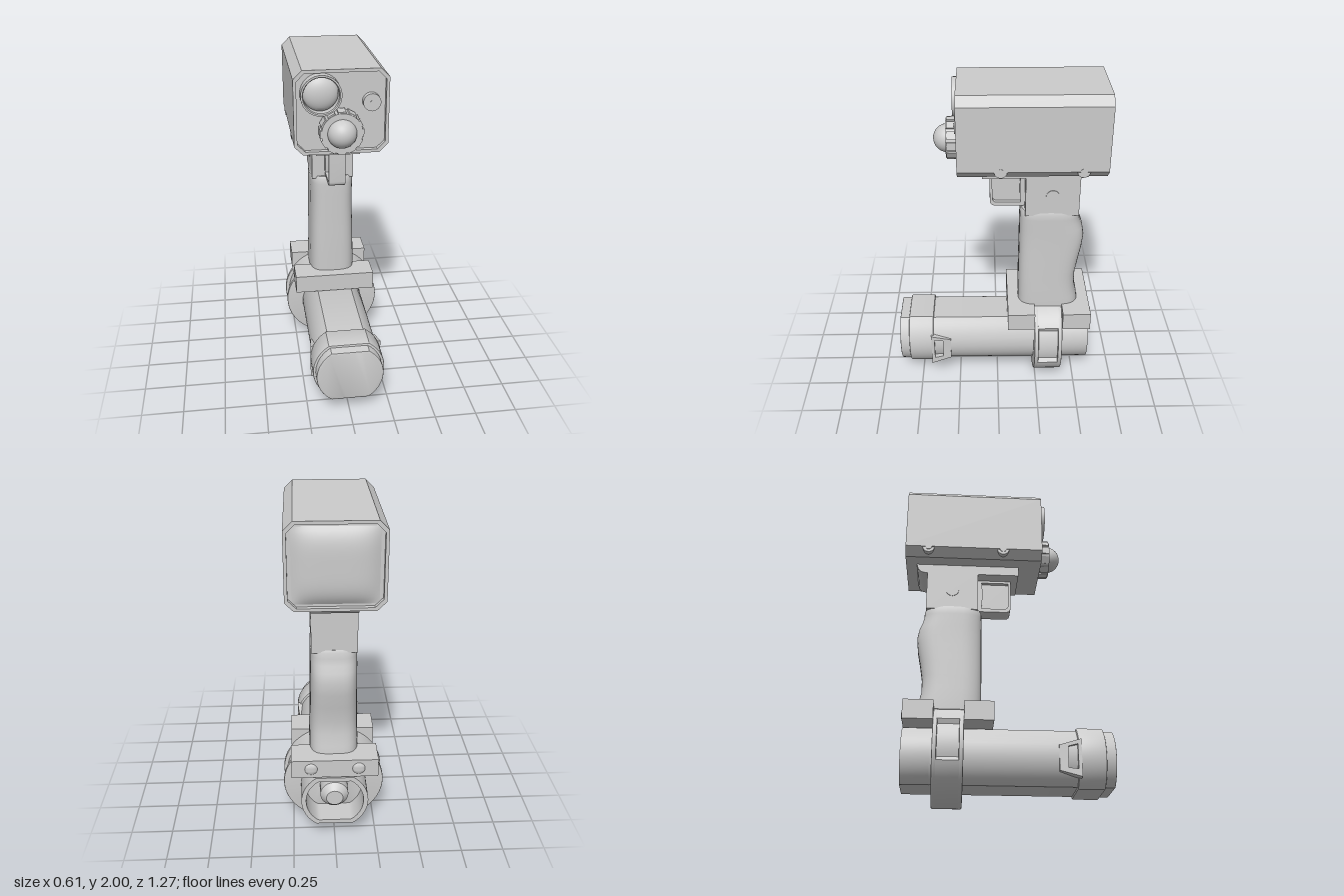
import * as THREE from 'three';
import { toCreasedNormals } from 'three/addons/utils/BufferGeometryUtils.js';

const material = new THREE.MeshStandardMaterial({ color: 0xcccccc, side: THREE.DoubleSide });

export function createModel() {
  const model = new THREE.Group();

  const add = (name, geo, x = 0, y = 0, z = 0) => {
    const mesh = new THREE.Mesh(toCreasedNormals(geo, 0.55), material);
    mesh.name = name;
    mesh.position.set(x, y, z);
    model.add(mesh);
    return mesh;
  };
  const poly = pts => new THREE.Shape(pts.map(p => new THREE.Vector2(p[0], p[1])));

  // Extrude an x-y outline between two depths, with an optional edge bevel
  const extrudeZ = (shape, z0, z1, b = 0) => new THREE.ExtrudeGeometry(shape, {
    depth: z1 - z0 - 2 * b, bevelEnabled: b > 0, bevelSize: b, bevelOffset: -b,
    bevelThickness: b, bevelSegments: 2, curveSegments: 12,
  }).translate(0, 0, z0 + b);
  // Extrude a z-y outline across x, centred
  const extrudeX = (shape, width, b = 0) =>
    extrudeZ(shape, -width / 2, width / 2, b).rotateY(-Math.PI / 2);
  const box = (w, h, d) => new THREE.BoxGeometry(w, h, d);
  const cylZ = (r, d, r2 = r, n = 40) => new THREE.CylinderGeometry(r2, r, d, n).rotateX(Math.PI / 2);
  const cylX = (r, d) => new THREE.CylinderGeometry(r, r, d, 28).rotateZ(Math.PI / 2);

  // Rectangle with cut corners
  const chamfered = (w, y0, y1, c) => poly([
    [-w + c, y0], [w - c, y0], [w, y0 + c], [w, y1 - c],
    [w - c, y1], [-w + c, y1], [-w, y1 - c], [-w, y0 + c]]);
  // Circle with flattened top and bottom
  const flatRound = (r, h) => {
    const pts = [];
    for (let i = 0; i < 64; i++) {
      const a = i / 64 * Math.PI * 2;
      pts.push([r * Math.cos(a), THREE.MathUtils.clamp(r * Math.sin(a), -h, h)]);
    }
    return poly(pts);
  };

  // Head: a shell open at both ends around a solid core
  const shell = chamfered(0.268, 1.515, 2, 0.05);
  shell.holes.push(chamfered(0.25, 1.533, 1.982, 0.045));
  add('headShell', extrudeZ(shell, -0.622, 0.23));
  add('headCore', extrudeZ(chamfered(0.252, 1.531, 1.984, 0.045), -0.595, 0.2));

  // Bulging rear screen
  const screen = new THREE.PlaneGeometry(0.46, 0.42, 20, 20).rotateY(Math.PI);
  const sp = screen.attributes.position;
  for (let i = 0; i < sp.count; i++) {
    const u = sp.getX(i) / 0.23, v = sp.getY(i) / 0.21;
    sp.setZ(i, -0.04 * (1 - u ** 4) * (1 - v ** 4));
  }
  screen.computeVertexNormals();
  add('rearScreen', screen, 0, 1.757, -0.596);

  // Screws set into the lower edges of the head
  for (const side of [-1, 1])
    for (const z of [-0.015, -0.48]) {
      add('headScrew', cylX(0.037, 0.05), side * 0.24, 1.565, z);
      add('screwDimple', cylX(0.02, 0.006), side * 0.266, 1.565, z);
    }

  // Upper lens: rim with a dome inside
  const rim = [[0.1, 0], [0.1, 0.05], [0.105, 0.057], [0.115, 0.057], [0.115, 0]]
    .map(p => new THREE.Vector2(...p));
  add('upperLensRim', new THREE.LatheGeometry(rim.reverse(), 40).rotateX(Math.PI / 2), -0.115, 1.862, 0.2);
  add('upperLensDome', new THREE.SphereGeometry(0.1, 32, 20).scale(1, 1, 0.5), -0.115, 1.862, 0.2);

  // Lower lens: ribbed barrel with a ball
  add('lowerLensBarrel', cylZ(0.116, 0.1), -0.005, 1.655, 0.245);
  for (let i = 0; i < 12; i++) {
    const a = i / 12 * Math.PI * 2;
    const rib = add('barrelRib', box(0.016, 0.045, 0.08),
      -0.005 + 0.115 * Math.cos(a), 1.655 + 0.115 * Math.sin(a), 0.25);
    rib.rotation.z = a;
  }
  add('lowerLensBall', new THREE.SphereGeometry(0.083, 32, 24), -0.005, 1.655, 0.287);

  // Small knob
  add('knob', cylZ(0.05, 0.04), 0.17, 1.81, 0.218);
  add('knobCentre', cylZ(0.012, 0.01), 0.17, 1.81, 0.238);

  // Mounting plate, neck and cross pin
  add('mountPlate', extrudeX(poly([[0.09, 1.52], [0.09, 1.455], [-0.49, 1.455], [-0.525, 1.463],
    [-0.545, 1.482], [-0.555, 1.52]]), 0.26));
  add('neck', box(0.26, 0.26, 0.32), 0, 1.335, -0.325);
  add('neckPin', cylX(0.04, 0.268), 0, 1.335, -0.325);

  // Trigger: raised rim around a thinner web
  const outline = (z0, z1, y0, y1, r) => {
    const s = new THREE.Shape();
    s.moveTo(z0, y1);
    s.lineTo(z0, y0 + r);
    s.quadraticCurveTo(z0, y0, z0 - r, y0);
    s.lineTo(z1, y0);
    s.quadraticCurveTo(z1 + 0.012, (y0 + y1) / 2, z1, y1);
    return s;
  };
  const trigger = outline(0.045, -0.17, 1.232, 1.46, 0.035);
  trigger.holes.push(outline(0.03, -0.14, 1.255, 1.44, 0.03));
  add('triggerRim', extrudeX(trigger, 0.1));
  add('triggerWeb', box(0.05, 0.2, 0.19), 0, 1.345, -0.06);

  // Grip: stacked rounded sections [y, half width, front z, back z]
  const rows = [[0.54, 0.145, -0.133, -0.516], [0.6, 0.145, -0.133, -0.508], [0.67, 0.143, -0.133, -0.492],
    [0.76, 0.141, -0.133, -0.492], [0.86, 0.139, -0.134, -0.508], [0.95, 0.137, -0.135, -0.525],
    [1.03, 0.136, -0.135, -0.533], [1.09, 0.136, -0.136, -0.522], [1.13, 0.136, -0.136, -0.505],
    [1.17, 0.136, -0.137, -0.496], [1.205, 0.136, -0.138, -0.494], [1.222, 0.13, -0.146, -0.486]];
  const N = 40, verts = [], faces = [];
  const loops = [[0.54, 0, -0.325, -0.325], ...rows, [1.222, 0, -0.325, -0.325]];
  loops.forEach(([y, w, zf, zb], j) => {
    for (let i = 0; i < N; i++) {
      const a = i / N * Math.PI * 2, c = Math.cos(a), s = Math.sin(a);
      const px = Math.sign(c) * Math.abs(c) ** 0.55, pz = Math.sign(s) * Math.abs(s) ** 0.55;
      verts.push(w * px, y, (zf + zb) / 2 + (zf - zb) / 2 * pz);
      if (j < loops.length - 1) {
        const p = j * N + i, q = j * N + (i + 1) % N;
        faces.push(p, p + N, q, q, p + N, q + N);
      }
    }
  });
  const grip = new THREE.BufferGeometry();
  grip.setAttribute('position', new THREE.Float32BufferAttribute(verts, 3));
  grip.setIndex(faces);
  grip.computeVertexNormals();
  add('grip', grip);

  // Base bars either side of the clamp, with rear bolts
  add('frontBar', box(0.51, 0.115, 0.17), 0, 0.497, -0.15);
  add('rearBar', box(0.51, 0.115, 0.175), 0, 0.497, -0.4975);
  for (const side of [-1, 1])
    add('barBolt', new THREE.SphereGeometry(0.038, 20, 14).scale(1, 1, 0.35), side * 0.14, 0.497, -0.583);

  // Clamp: two flanges and a middle band with a pocket on each side
  const ring = pocket => {
    const pts = [];
    for (let i = 0; i < 96; i++) {
      const a = i / 96 * Math.PI * 2, s = Math.sin(a);
      const k = pocket && s > -0.3 && s < 0.52 ? 0.92 : 1;
      pts.push([0.305 * k * Math.cos(a), Math.min(0.285 + 0.285 * k * s, 0.553)]);
    }
    return poly(pts);
  };
  add('clampFlange', extrudeZ(ring(false), -0.41, -0.384, 0.006));
  add('clampFlange', extrudeZ(ring(false), -0.261, -0.235, 0.006));
  add('clampBand', extrudeZ(ring(true), -0.388, -0.257));

  // Lamp tube, hollow at the rear
  const cy = 0.267;
  add('lampTube', extrudeZ(flatRound(0.2, 0.166), -0.43, 0.632, 0.006), 0, cy);
  const tail = flatRound(0.2, 0.166);
  tail.holes.push(flatRound(0.172, 0.14));
  add('lampTail', extrudeZ(tail, -0.587, -0.42), 0, cy);
  add('tailButton', cylZ(0.085, 0.1, 0.085, 24), 0, cy, -0.47);
  add('tailButtonTip', cylZ(0.05, 0.04, 0.085, 24), 0, cy, -0.54);

  // Lamp collar with a slotted tab on each side
  add('lampCollar', extrudeZ(flatRound(0.216, 0.18), 0.415, 0.573, 0.008), 0, cy);
  for (const side of [-1, 1]) {
    const tab = poly([[0.43, 0.355], [0.305, 0.32], [0.305, 0.172], [0.43, 0.135]]);
    tab.holes.push(poly([[0.41, 0.325], [0.355, 0.312], [0.355, 0.188], [0.41, 0.18]]));
    const geo = extrudeX(tab, 0.05);
    const p = geo.attributes.position;
    for (let i = 0; i < p.count; i++) p.setX(i, p.getX(i) + side * (p.getZ(i) - 0.42) * 0.1);
    add('collarTab', geo, side * 0.19);
  }

  return model;
}
